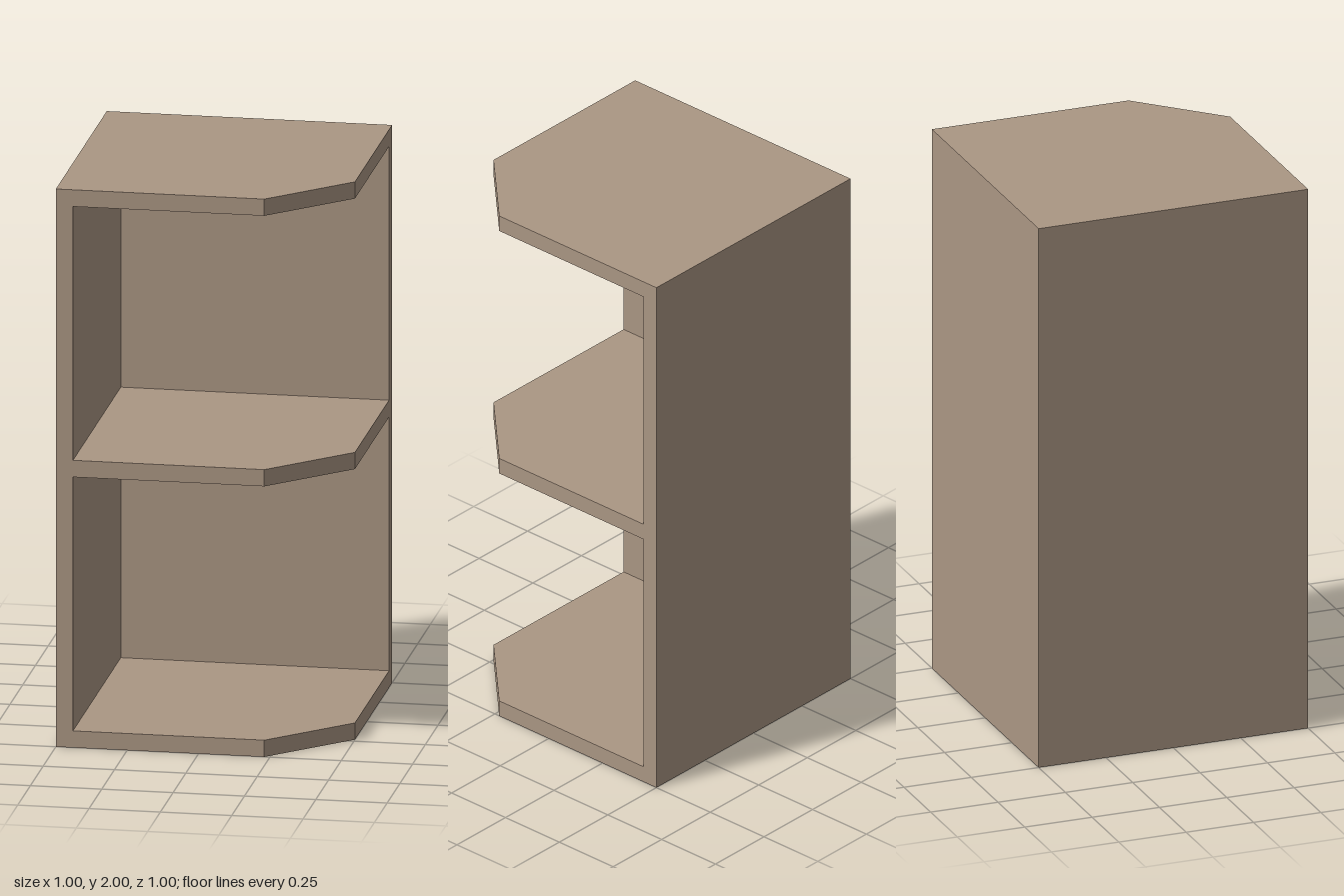
import * as THREE from 'three';

const HALF = 0.5;      // half of the square footprint
const HEIGHT = 2;
const BOARD = 0.06;    // board thickness
const CHAMFER = 0.23;  // where the cut corner starts on each side

export function createModel() {
  const model = new THREE.Group();
  model.name = 'cornerShelf';
  const wood = new THREE.MeshStandardMaterial({ color: 0xab9784 });
  wood.name = 'paleBrownWood';

  // Upright board of a plan outline given as [x, z], from y upwards
  const addBoard = (name, outline, y, height) => {
    const shape = new THREE.Shape(outline.map(([x, z]) => new THREE.Vector2(x, -z)));
    const geometry = new THREE.ExtrudeGeometry(shape, { depth: height, bevelEnabled: false });
    geometry.rotateX(-Math.PI / 2);
    const mesh = new THREE.Mesh(geometry, wood);
    mesh.name = name;
    mesh.position.y = y;
    model.add(mesh);
  };

  const inner = -HALF + BOARD;

  // Side and back walls, joined in an L between the bottom and the top board
  addBoard('sideAndBackWalls', [
    [-HALF, -HALF], [HALF, -HALF], [HALF, inner],
    [inner, inner], [inner, HALF], [-HALF, HALF],
  ], BOARD, HEIGHT - 2 * BOARD);

  // Bottom and top boards cover the whole footprint, the middle shelf sits inside the walls
  const shelfOutline = (start) => [
    [start, start], [HALF, start], [HALF, CHAMFER], [CHAMFER, HALF], [start, HALF],
  ];
  addBoard('bottomBoard', shelfOutline(-HALF), 0, BOARD);
  addBoard('middleShelf', shelfOutline(inner), (HEIGHT - BOARD) / 2, BOARD);
  addBoard('topBoard', shelfOutline(-HALF), HEIGHT - BOARD, BOARD);

  return model;
}
